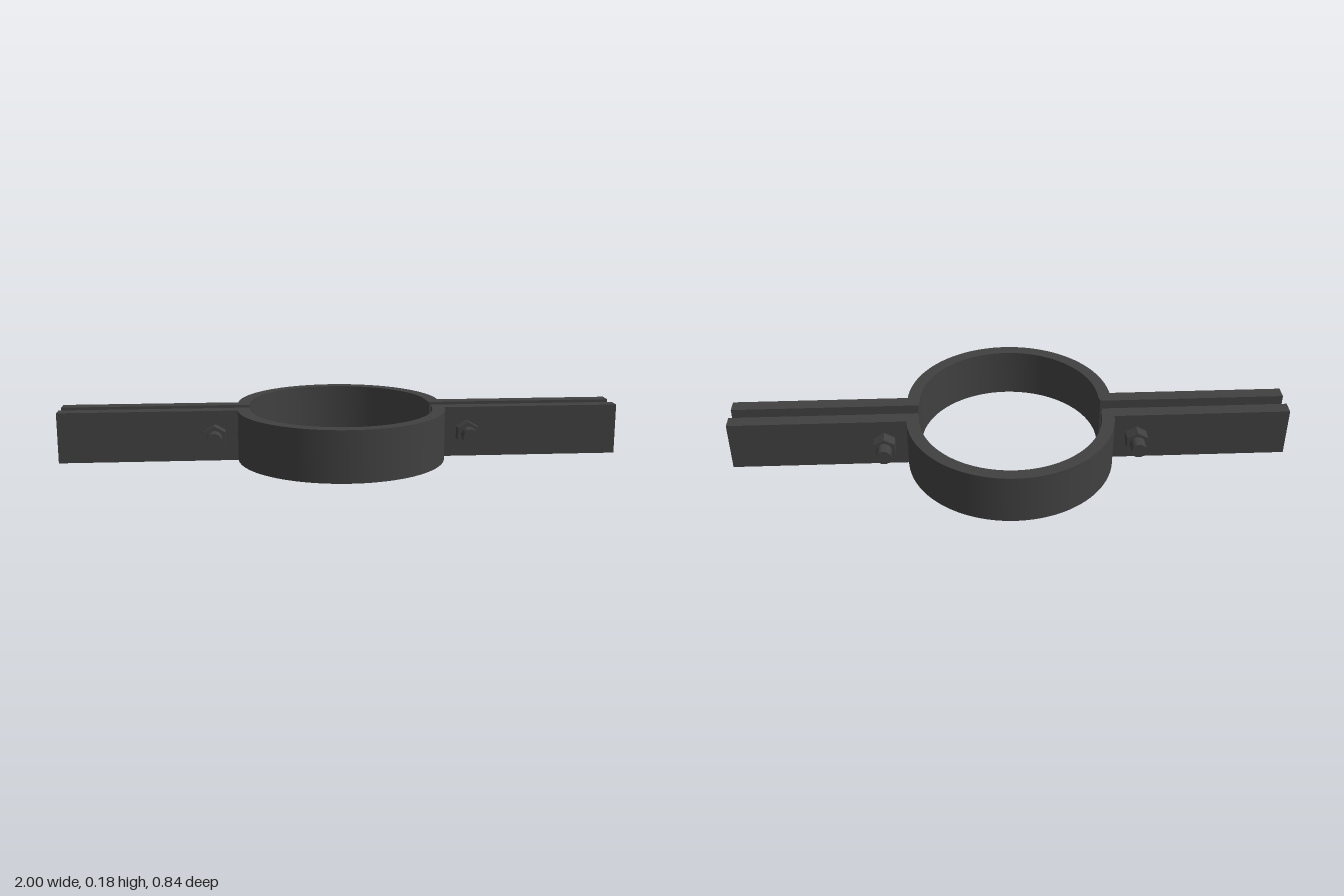
import * as THREE from 'three';
import { toCreasedNormals } from 'three/addons/utils/BufferGeometryUtils.js';

const HEIGHT = 0.18, INNER = 0.025, OUTER = 0.075; // flange height and faces
const CENTRE = 0.05, R_OUT = 0.37, R_IN = 0.325;   // half ring

const steel = new THREE.MeshStandardMaterial({ color: 0x404040 });
steel.name = 'darkSteel';

// Half ring with a straight flange on each side, as one bent strap
function strapGeometry() {
  const a = Math.asin((OUTER - CENTRE) / R_OUT);
  const s = new THREE.Shape();
  s.moveTo(1, INNER);
  s.lineTo(1, OUTER);
  s.absarc(0, CENTRE, R_OUT, a, Math.PI - a, false);
  s.lineTo(-1, OUTER);
  s.lineTo(-1, INNER);
  s.lineTo(-0.33, INNER);
  s.absarc(0, CENTRE, R_IN, Math.PI, 0, true);
  s.lineTo(0.33, INNER);
  s.closePath();
  const g = new THREE.ExtrudeGeometry(s, { depth: HEIGHT, bevelEnabled: false, curveSegments: 48 });
  g.rotateX(-Math.PI / 2);
  return toCreasedNormals(g, 0.5);
}

// Cylinder or prism lying along z
function rod(name, radius, length, sides, z) {
  let g = new THREE.CylinderGeometry(radius, radius, length, sides).rotateX(Math.PI / 2);
  g = toCreasedNormals(g, 0.6);
  const m = new THREE.Mesh(g, steel);
  m.name = name;
  m.position.z = z;
  return m;
}

export function createModel() {
  const model = new THREE.Group();
  model.name = 'pipeClamp';

  // Two matching straps, back and front
  const strap = strapGeometry();
  ['backStrap', 'frontStrap'].forEach((name, i) => {
    const m = new THREE.Mesh(strap, steel);
    m.name = name;
    m.rotation.y = i * Math.PI;
    model.add(m);
  });

  // A threaded bolt with two hex nuts through each pair of flanges
  for (const side of [1, -1]) {
    const bolt = new THREE.Group();
    bolt.name = side > 0 ? 'leftBolt' : 'rightBolt';
    bolt.position.set(side * 0.45, HEIGHT / 2, 0);
    bolt.add(rod('shank', 0.027, 0.333, 24, 0));
    bolt.add(rod('frontNut', 0.043, 0.045, 6, 0.0975));
    bolt.add(rod('backNut', 0.043, 0.045, 6, -0.0975));
    model.add(bolt);
  }
  return model;
}
